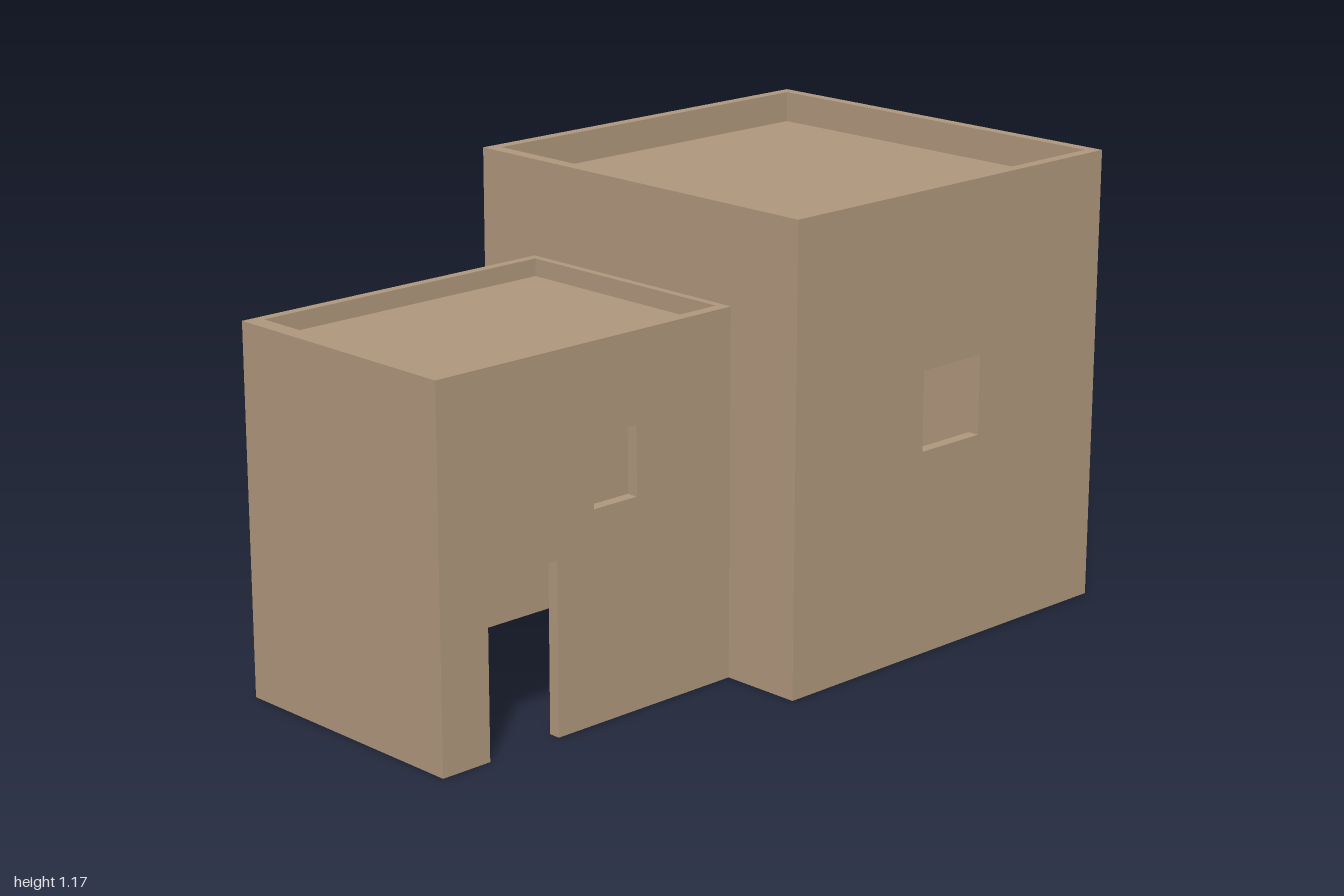
import * as THREE from 'three';

const clay = new THREE.MeshStandardMaterial({ color: 0xae967c });
clay.name = 'clay';

// Closed rectangle path from (a0, b0) to (a1, b1)
function rect(a0, b0, a1, b1, Type = THREE.Path) {
  const p = new Type();
  p.moveTo(a0, b0);
  p.lineTo(a1, b0);
  p.lineTo(a1, b1);
  p.lineTo(a0, b1);
  p.closePath();
  return p;
}

// Wall outline standing on the ground; door = [from, to, height] cuts a notch, windows become holes
function wallShape(a0, a1, height, windows = [], door = null) {
  const s = new THREE.Shape();
  s.moveTo(a0, 0);
  if (door) {
    s.lineTo(door[0], 0);
    s.lineTo(door[0], door[2]);
    s.lineTo(door[1], door[2]);
    s.lineTo(door[1], 0);
  }
  s.lineTo(a1, 0);
  s.lineTo(a1, height);
  s.lineTo(a0, height);
  s.closePath();
  windows.forEach((w) => s.holes.push(rect(...w)));
  return s;
}

function extrude(shape, depth) {
  return new THREE.ExtrudeGeometry(shape, { depth, bevelEnabled: false });
}

function add(group, name, geometry) {
  const mesh = new THREE.Mesh(geometry, clay);
  mesh.name = name;
  group.add(mesh);
}

// Wall in the z-y plane, filling x0..x1
function sideWall(group, name, shape, x0, x1) {
  add(group, name, extrude(shape, x1 - x0).rotateY(-Math.PI / 2).translate(x1, 0, 0));
}

// Wall in the x-y plane, filling z0..z1
function crossWall(group, name, shape, z0, z1) {
  add(group, name, extrude(shape, z1 - z0).translate(0, 0, z0));
}

function block(group, name, x0, x1, y0, y1, z0, z1) {
  const g = new THREE.BoxGeometry(x1 - x0, y1 - y0, z1 - z0);
  add(group, name, g.translate((x0 + x1) / 2, (y0 + y1) / 2, (z0 + z1) / 2));
}

export function createModel() {
  const house = new THREE.Group();
  house.name = 'house';

  // Tall rear room: four walls around a sunken flat roof, open underneath
  const rear = new THREE.Group();
  rear.name = 'rearRoom';
  const H = 1.175;
  sideWall(rear, 'rearLeftWall', wallShape(-1, 0.095, H, [[-0.555, 0.525, -0.35, 0.73]]), 0.515, 0.545);
  sideWall(rear, 'rearRightWall', wallShape(-1, 0.095, H, [[-0.54, 0.605, -0.37, 0.775]]), -0.55, -0.52);
  crossWall(rear, 'rearBackWall', wallShape(-0.52, 0.515, H), -1, -0.97);
  // The dividing wall has a wide passage into the front room
  crossWall(rear, 'dividingWall', wallShape(-0.52, 0.515, H, [], [-0.335, 0.3, 0.855]), 0.06, 0.095);
  block(rear, 'rearRoof', -0.52, 0.515, 1.065, 1.095, -0.97, 0.06);
  house.add(rear);

  // Lower front room with the doorway
  const front = new THREE.Group();
  front.name = 'frontRoom';
  const h = 0.93;
  sideWall(front, 'frontLeftWall',
    wallShape(0.095, 1, h, [[0.4, 0.53, 0.535, 0.705]], [0.65, 0.86, 0.435]), 0.3, 0.33);
  sideWall(front, 'frontRightWall', wallShape(0.095, 1, h, [[0.43, 0.355, 0.665, 0.58]]), -0.36, -0.335);
  crossWall(front, 'frontWall', wallShape(-0.335, 0.3, h), 0.955, 1);
  block(front, 'frontRoof', -0.335, 0.3, 0.855, 0.885, 0.095, 0.955);
  block(front, 'roofBackRim', -0.335, 0.3, 0.885, h, 0.095, 0.115);
  house.add(front);

  return house;
}
